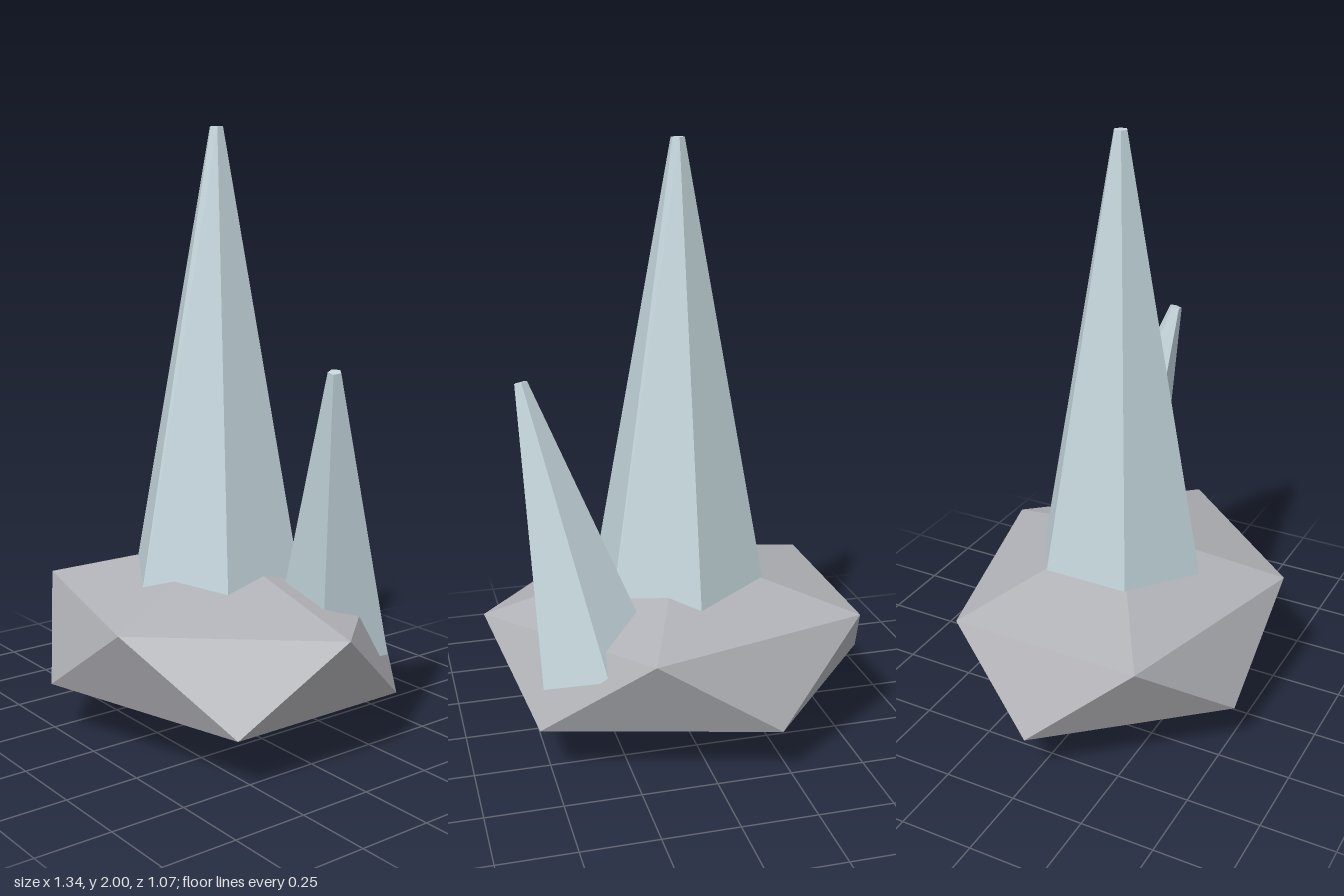
import * as THREE from 'three';

export function createModel() {
  const model = new THREE.Group();
  const stone = new THREE.MeshStandardMaterial({ color: 0xb0b1b6, flatShading: true });
  stone.name = 'grey stone';
  const ice = new THREE.MeshStandardMaterial({ color: 0xc2d4da, flatShading: true });
  ice.name = 'pale blue crystal';

  // Faceted boulder: two staggered five-point rings between two apexes
  const midY = 0.317, ringY = 0.139, apexY = 0.313, rx = 0.67, rz = 0.56;
  const points = [0, midY + apexY, 0, 0, midY - apexY, 0];
  for (let i = 0; i < 5; i++) {
    const a = (i / 5) * Math.PI * 2;
    const b = a + Math.PI / 5;
    points.push(rx * Math.cos(a), midY + ringY, rz * Math.sin(a));
    points.push(rx * Math.cos(b), midY - ringY, rz * Math.sin(b));
  }
  const faces = [];
  for (let i = 0; i < 5; i++) {
    const u = 2 + i * 2, l = u + 1;
    const nu = 2 + ((i + 1) % 5) * 2, nl = nu + 1;
    faces.push(0, nu, u, u, nu, l, nu, nl, l, 1, l, nl);
  }
  const rockGeometry = new THREE.BufferGeometry();
  rockGeometry.setAttribute('position', new THREE.Float32BufferAttribute(points, 3));
  rockGeometry.setIndex(faces);
  const flatRock = rockGeometry.toNonIndexed();
  flatRock.computeVertexNormals();
  const rock = new THREE.Mesh(flatRock, stone);
  rock.name = 'rockBase';
  model.add(rock);

  // Tapered crystal whose local origin is the centre of its base
  function addCrystal(name, tip, radius, height, sides, turn) {
    const geometry = new THREE.CylinderGeometry(tip, radius, height, sides);
    geometry.rotateY(turn).translate(0, height / 2, 0);
    const crystal = new THREE.Mesh(geometry, ice);
    crystal.name = name;
    model.add(crystal);
    return crystal;
  }

  // Upright six-sided spire
  addCrystal('mainCrystal', 0.023, 0.324, 1.6, 6, 0).position.y = 0.4;

  // Smaller five-sided shard leaning outward
  const shard = addCrystal('sideCrystal', 0.022, 0.2, 0.96, 5, Math.PI);
  shard.position.set(0.336, 0.334, -0.236);
  shard.rotation.set(0.2, 0, -0.2);

  return model;
}
